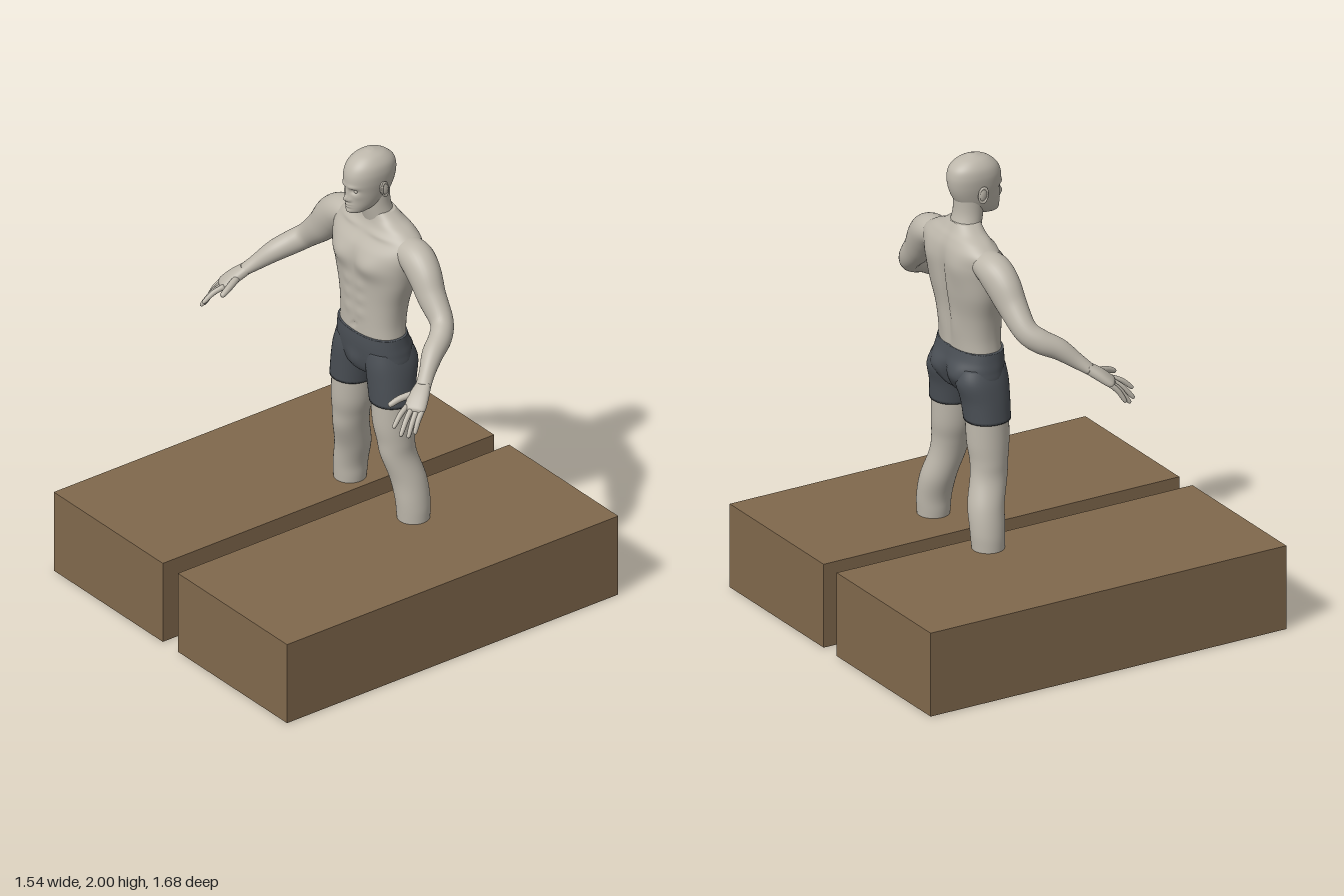
import * as THREE from 'three';

const mat = (name, color) => Object.assign(new THREE.MeshStandardMaterial({ color }), { name });

// Catmull-Rom blend of numeric rows, all columns at once
function sampleRows(rows, t) {
  const last = rows.length - 1;
  const i = Math.min(Math.floor(t * last), last - 1);
  const f = t * last - i;
  const [a, b, c, d] = [i - 1, i, i + 1, i + 2].map(k => rows[Math.min(Math.max(k, 0), last)]);
  return b.map((_, k) => 0.5 * (2 * b[k] + (c[k] - a[k]) * f
    + (2 * a[k] - 5 * b[k] + 4 * c[k] - d[k]) * f * f
    + (3 * b[k] - a[k] - 3 * c[k] + d[k]) * f * f * f));
}

// Closed skin over cross-sections [x, y, z, radiusA, radiusB].
// Upright rings lie flat; otherwise they follow the path.
// Bumps [x, y, sizeX, sizeY, amount, side] push the front (1) or back (-1), mirrored in x.
function loft(rows, { segs = 24, sub = 5, upright = false, n = 2, bumps = [] } = {}) {
  const steps = (rows.length - 1) * sub;
  const pos = [], idx = [];
  const up = new THREE.Vector3(0, 1, 0);
  const power = v => Math.sign(v) * Math.abs(v) ** (2 / n);
  const at = t => new THREE.Vector3(...sampleRows(rows, t));
  for (let j = 0; j <= steps; j++) {
    const t = j / steps;
    const [x, y, z, ra, rb] = sampleRows(rows, t);
    let e1 = new THREE.Vector3(1, 0, 0), e2 = new THREE.Vector3(0, 0, 1);
    if (!upright) {
      const dir = at(Math.min(t + 0.01, 1)).sub(at(Math.max(t - 0.01, 0))).normalize();
      e1 = up.clone().cross(dir).normalize();
      e2 = e1.clone().cross(dir);
    }
    for (let i = 0; i < segs; i++) {
      const th = i / segs * Math.PI * 2, s = Math.sin(th);
      const p = new THREE.Vector3(x, y, z)
        .addScaledVector(e1, ra * power(Math.cos(th))).addScaledVector(e2, rb * power(s));
      const px = Math.abs(p.x);
      for (const [bx, by, sx, sy, amount, side] of bumps)
        p.z += side * amount * Math.max(0, side * s)
          * Math.exp(-(((px - bx) / sx) ** 2) - ((p.y - by) / sy) ** 2);
      pos.push(p.x, p.y, p.z);
      if (j < steps) {
        const a = j * segs + i, b = j * segs + (i + 1) % segs;
        idx.push(a, a + segs, b, b, a + segs, b + segs);
      }
    }
  }
  const first = pos.length / 3;
  pos.push(...rows[0].slice(0, 3), ...rows[rows.length - 1].slice(0, 3));
  for (let i = 0; i < segs; i++) {
    const k = (i + 1) % segs;
    idx.push(first, i, k, first + 1, steps * segs + k, steps * segs + i);
  }
  const g = new THREE.BufferGeometry();
  g.setAttribute('position', new THREE.Float32BufferAttribute(pos, 3));
  g.setIndex(idx);
  g.computeVertexNormals();
  return g;
}

// Mirror across x and restore the face winding
function mirrored(geometry) {
  const g = geometry.clone().scale(-1, 1, 1);
  const ix = g.index.array;
  for (let i = 0; i < ix.length; i += 3) [ix[i], ix[i + 1]] = [ix[i + 1], ix[i]];
  g.computeVertexNormals();
  return g;
}

// Section from height, half width, front z and back z
const section = (y, w, zf, zb) => [0, y, (zf + zb) / 2, w, (zf - zb) / 2];

export function createModel() {
  const skin = mat('skin', 0xbdb7ab);
  const cloth = mat('shorts cloth', 0x4a4f55);
  const wood = mat('brown block', 0x80684c);
  const model = new THREE.Group();
  const figure = new THREE.Group();
  figure.name = 'figure';
  figure.position.x = 0.057;
  model.add(figure);

  const add = (parent, name, geometry, material) => {
    const m = new THREE.Mesh(geometry, material);
    m.name = name;
    parent.add(m);
    return m;
  };
  const pair = (name, geometry, material) => {
    add(figure, 'left' + name, geometry, material);
    add(figure, 'right' + name, mirrored(geometry), material);
  };

  // Two blocks
  for (const [name, x] of [['leftBlock', 0.4075], ['rightBlock', -0.41]])
    add(model, name, new THREE.BoxGeometry(0.718, 0.365, 1.68), wood).position.set(x, 0.1825, 0);

  // Torso with chest, stomach and back muscles
  add(figure, 'torso', loft([
    section(1.15, 0.168, -0.045, -0.24), section(1.24, 0.163, -0.045, -0.245),
    section(1.34, 0.177, -0.045, -0.255), section(1.44, 0.208, -0.042, -0.272),
    section(1.52, 0.225, -0.038, -0.28), section(1.58, 0.235, -0.05, -0.283),
    section(1.63, 0.232, -0.085, -0.277), section(1.668, 0.18, -0.105, -0.262),
    section(1.695, 0.12, -0.112, -0.245), section(1.725, 0.075, -0.115, -0.228),
  ], {
    segs: 80, sub: 8, upright: true, n: 2.3,
    bumps: [
      [0.095, 1.515, 0.07, 0.05, 0.02, 1], [0, 1.52, 0.016, 0.07, -0.006, 1],
      [0.1, 1.645, 0.07, 0.012, 0.007, 1],
      [0.04, 1.41, 0.026, 0.024, 0.005, 1], [0.04, 1.345, 0.026, 0.024, 0.005, 1],
      [0.038, 1.28, 0.026, 0.024, 0.005, 1], [0, 1.215, 0.009, 0.01, -0.01, 1],
      [0, 1.43, 0.02, 0.2, -0.017, -1], [0.11, 1.56, 0.06, 0.07, 0.01, -1],
      [0.05, 1.28, 0.03, 0.08, 0.005, -1],
    ],
  }), skin);

  // Neck
  add(figure, 'neck', loft([
    [0, 1.64, -0.19, 0.09, 0.07], [0, 1.7, -0.168, 0.074, 0.064],
    [0, 1.76, -0.153, 0.063, 0.062], [0, 1.83, -0.15, 0.06, 0.065],
  ], { segs: 40, upright: true }), skin);

  // Head with brow, eye sockets, nose, lips and chin
  add(figure, 'head', loft([
    section(1.737, 0.016, -0.035, -0.075), section(1.748, 0.037, -0.018, -0.12),
    section(1.77, 0.052, -0.014, -0.17), section(1.8, 0.063, -0.014, -0.205),
    section(1.84, 0.072, -0.013, -0.228), section(1.88, 0.079, -0.008, -0.24),
    section(1.92, 0.081, -0.012, -0.242), section(1.955, 0.073, -0.03, -0.23),
    section(1.983, 0.05, -0.065, -0.195), section(1.998, 0.018, -0.11, -0.15),
    section(2.0, 0.004, -0.126, -0.134),
  ], {
    segs: 96, sub: 8, upright: true, n: 2.15,
    bumps: [
      [0, 1.812, 0.012, 0.014, 0.021, 1], [0, 1.838, 0.009, 0.018, 0.01, 1],
      [0.014, 1.806, 0.007, 0.008, 0.007, 1], [0.028, 1.868, 0.022, 0.009, 0.006, 1],
      [0.03, 1.85, 0.015, 0.01, -0.013, 1], [0.045, 1.825, 0.015, 0.014, 0.004, 1],
      [0, 1.786, 0.018, 0.005, 0.008, 1], [0, 1.774, 0.016, 0.005, 0.007, 1],
      [0, 1.752, 0.018, 0.01, 0.006, 1],
    ],
  }), skin);

  // Eyeballs and ears
  pair('Eye', new THREE.SphereGeometry(0.011, 16, 12).translate(0.03, 1.849, -0.036), skin);
  const ear = (g, x) => g.rotateX(0.15).translate(x, 1.85, -0.135);
  pair('Ear', ear(new THREE.SphereGeometry(1, 20, 14).scale(0.011, 0.034, 0.02), 0.083), skin);
  pair('EarRim', ear(new THREE.TorusGeometry(0.018, 0.004, 8, 24)
    .rotateY(Math.PI / 2).scale(1, 1.7, 1).rotateY(0.25), 0.09), skin);

  // Arms
  pair('Arm', loft([
    [0.15, 1.605, -0.18, 0.065, 0.05], [0.24, 1.585, -0.178, 0.072, 0.073],
    [0.3, 1.54, -0.172, 0.068, 0.078], [0.36, 1.467, -0.163, 0.058, 0.066],
    [0.44, 1.39, -0.152, 0.048, 0.052], [0.485, 1.35, -0.11, 0.047, 0.05],
    [0.52, 1.315, -0.045, 0.044, 0.044], [0.56, 1.265, 0.015, 0.033, 0.032],
    [0.59, 1.23, 0.058, 0.032, 0.023],
  ], { segs: 32, sub: 6 }), skin);

  // Hands: palm, four fingers and thumb
  pair('Palm', loft([
    [0.583, 1.238, 0.047, 0.03, 0.022], [0.608, 1.206, 0.093, 0.042, 0.023],
    [0.632, 1.174, 0.132, 0.044, 0.018], [0.639, 1.166, 0.143, 0.03, 0.008],
  ], { segs: 24, n: 2.4 }), skin);
  const tips = [[0.628, 1.12, 0.238], [0.658, 1.09, 0.225], [0.673, 1.08, 0.198], [0.682, 1.093, 0.172]];
  const digit = (a, m, b, r) => loft([
    [...a, r, r], [...m, r * 0.95, r * 0.95],
    [...b.map((v, k) => v * 0.85 + m[k] * 0.15), r * 0.75, r * 0.75], [...b, r * 0.25, r * 0.25],
  ], { segs: 12, sub: 4 });
  tips.forEach((tip, i) => {
    const s = (i / 1.5 - 1) * 0.033;
    const base = [0.63 + s * 0.86, 1.175 - s * 0.1, 0.132 - s * 0.51];
    const mid = base.map((v, k) => (v + tip[k]) / 2 + (k === 1 ? 0.01 : 0));
    pair('Finger' + (i + 1), digit(base, mid, tip, 0.0115), skin);
  });
  pair('Thumb', digit([0.588, 1.212, 0.085], [0.562, 1.197, 0.15], [0.55, 1.175, 0.202], 0.015), skin);

  // Shorts: hips and two short legs
  add(figure, 'shortsHips', loft([
    section(0.98, 0.045, -0.1, -0.19), section(1.01, 0.13, -0.06, -0.235),
    section(1.06, 0.188, -0.045, -0.258), section(1.11, 0.188, -0.038, -0.262),
    section(1.15, 0.181, -0.036, -0.253), section(1.188, 0.175, -0.038, -0.244),
  ], {
    segs: 64, sub: 6, upright: true, n: 2.3,
    bumps: [
      [0.085, 1.085, 0.06, 0.05, 0.022, -1], [0, 1.05, 0.014, 0.06, -0.02, -1],
      [0, 1.05, 0.035, 0.04, 0.012, 1],
    ],
  }), cloth);
  pair('ShortsLeg', loft([
    [0.13, 0.895, -0.143, 0.092, 0.095], [0.119, 0.98, -0.146, 0.093, 0.101],
    [0.107, 1.06, -0.155, 0.091, 0.112], [0.097, 1.12, -0.15, 0.082, 0.1],
  ], { segs: 40, upright: true, n: 2.15 }), cloth);

  // Legs
  pair('Leg', loft([
    [0.222, 0.03, -0.185, 0.04, 0.05], [0.22, 0.18, -0.185, 0.048, 0.052],
    [0.209, 0.365, -0.187, 0.067, 0.067], [0.203, 0.45, -0.187, 0.069, 0.073],
    [0.181, 0.545, -0.18, 0.073, 0.076], [0.156, 0.65, -0.152, 0.069, 0.078],
    [0.146, 0.72, -0.145, 0.075, 0.079], [0.135, 0.8, -0.143, 0.084, 0.088],
    [0.127, 0.93, -0.143, 0.087, 0.09],
  ], { segs: 40, sub: 6, upright: true }), skin);

  // Feet and toes inside the blocks
  pair('Foot', loft([
    [0.222, 0.03, -0.24, 0.025, 0.022], [0.222, 0.045, -0.19, 0.04, 0.042],
    [0.226, 0.042, -0.11, 0.045, 0.038], [0.23, 0.026, -0.03, 0.052, 0.022],
    [0.232, 0.018, 0.0, 0.045, 0.012],
  ]), skin);
  for (let i = 0; i < 5; i++)
    pair('Toe' + (i + 1), new THREE.SphereGeometry(1, 14, 10)
      .scale(0.011, 0.012, 0.025).translate(0.19 + i * 0.021, 0.012, 0.01 - i * 0.008), skin);

  return model;
}
